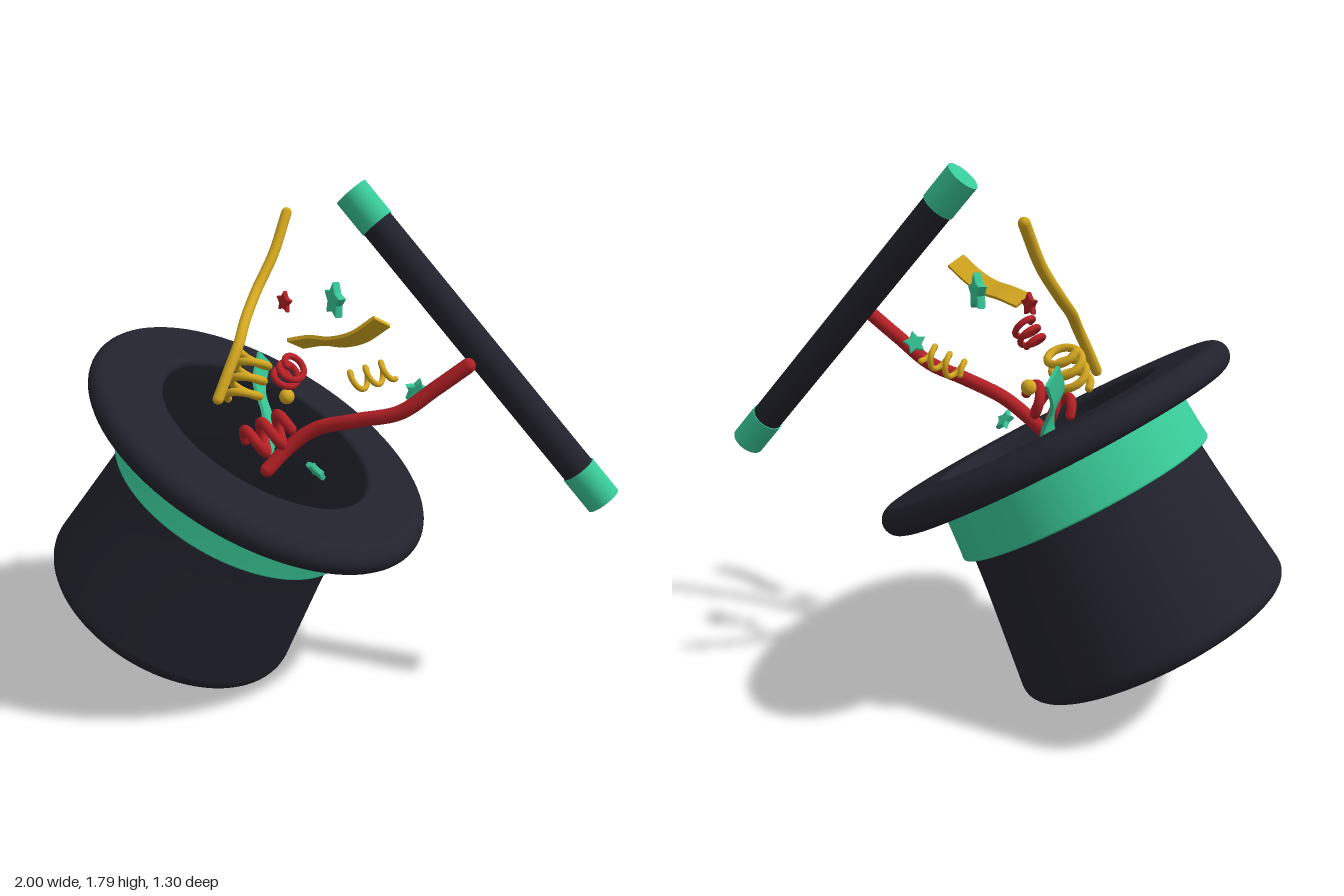
import * as THREE from 'three';

const mat = (name, color) => {
  const m = new THREE.MeshStandardMaterial({ color });
  m.name = name;
  return m;
};
const V = (p) => new THREE.Vector3(...p);

export function createModel() {
  const root = new THREE.Group();
  root.name = 'magicHatAndWand';
  const black = mat('black felt', 0x22222d);
  const green = mat('mint green', 0x38c997);
  const red = mat('red', 0xb52025);
  const gold = mat('gold', 0xd4a71f);

  const add = (name, geometry, material, parent = root) => {
    const m = new THREE.Mesh(geometry, material);
    m.name = name;
    parent.add(m);
    return m;
  };

  // profile arc: centre, radius, start and end angle in degrees
  const arc = (x, y, r, a, b, n = 8) =>
    Array.from({ length: n + 1 }, (_, i) => {
      const t = THREE.MathUtils.degToRad(a + ((b - a) * i) / n);
      return new THREE.Vector2(x + r * Math.cos(t), y + r * Math.sin(t));
    });
  const P = (x, y) => new THREE.Vector2(x, y);

  // hat: crown, brim and hollow inside turned as one profile
  const hat = new THREE.Group();
  hat.name = 'hat';
  hat.position.set(-0.22, 0.885, 0);
  hat.rotation.z = -Math.PI / 6;
  root.add(hat);
  add('hatBody', new THREE.LatheGeometry([
    P(0, -0.77), P(0.40, -0.77),
    ...arc(0.425, -0.71, 0.06, -90, 6),
    P(0.465, -0.55), P(0.44, -0.35), P(0.425, -0.2), P(0.425, -0.06), P(0.43, -0.05),
    P(0.46, -0.05), P(0.58, -0.05),
    ...arc(0.6, 0, 0.05, -90, 90, 12),
    P(0.58, 0.05), P(0.45, 0.05),
    ...arc(0.42, 0.03, 0.02, 90, 180, 5),
    P(0.4, 0), P(0.4, -0.3), P(0.43, -0.69), P(0.425, -0.7), P(0.4, -0.7), P(0, -0.7),
  ], 96), black, hat);

  // hat band
  add('hatBand', new THREE.LatheGeometry([
    P(0.42, -0.23), P(0.45, -0.23),
    ...arc(0.455, -0.222, 0.008, -90, 0, 4),
    P(0.46, -0.2), P(0.45, -0.06), P(0.45, -0.04),
  ], 96), green, hat);

  // wand with two tips
  const top = V([0.07, 1.75, -0.09]), bottom = V([0.955, 0.765, -0.09]);
  const length = top.distanceTo(bottom);
  const wand = new THREE.Group();
  wand.name = 'wand';
  wand.position.copy(top).add(bottom).multiplyScalar(0.5);
  wand.quaternion.setFromUnitVectors(new THREE.Vector3(0, 1, 0), top.clone().sub(bottom).normalize());
  root.add(wand);
  add('wandShaft', new THREE.CylinderGeometry(0.056, 0.056, length - 0.24, 40), black, wand);
  for (const s of [1, -1]) {
    add('wandTip', new THREE.CylinderGeometry(0.06, 0.06, 0.135, 40), green, wand)
      .position.y = s * (length / 2 - 0.0675);
  }

  // tubes with rounded ends
  const tube = (name, pts, r, material, segments = 60) => {
    const g = new THREE.Group();
    g.name = name;
    root.add(g);
    const curve = new THREE.CatmullRomCurve3(pts);
    add(name + 'Tube', new THREE.TubeGeometry(curve, segments, r, 12), material, g);
    for (const p of [pts[0], pts[pts.length - 1]]) {
      add(name + 'End', new THREE.SphereGeometry(r, 12, 10), material, g).position.copy(p);
    }
  };
  tube('redStreamer', [
    [-0.15, 0.84, 0.15], [-0.09, 0.91, 0.11], [0, 0.98, 0.09], [0.15, 1.03, 0.105],
    [0.3, 1.075, 0.115], [0.41, 1.16, 0.1], [0.51, 1.24, 0.085],
  ].map(V), 0.025, red);
  tube('goldStreamer', [
    [-0.25, 1.635, -0.37], [-0.27, 1.5, -0.28], [-0.295, 1.39, -0.17], [-0.285, 1.31, -0.02],
    [-0.275, 1.25, 0.07], [-0.29, 1.17, 0.13], [-0.31, 1.085, 0.18],
  ].map(V), 0.019, gold);

  // coil wound around the line from a to b
  const coil = (name, a, b, radius, turns, r, material) => {
    const A = V(a), B = V(b), axis = B.clone().sub(A).normalize();
    const e1 = new THREE.Vector3(0, 1, 0).cross(axis).normalize();
    const e2 = axis.clone().cross(e1);
    const n = Math.round(turns * 12);
    const pts = Array.from({ length: n + 1 }, (_, i) => {
      const t = (i / 12) * Math.PI * 2;
      return A.clone().lerp(B, i / n)
        .addScaledVector(e1, radius * Math.cos(t)).addScaledVector(e2, radius * Math.sin(t));
    });
    tube(name, pts, r, material, n * 3);
  };
  coil('goldCoil', [-0.27, 1.05, 0.07], [-0.25, 1.19, -0.02], 0.055, 3, 0.014, gold);
  coil('smallGoldCoil', [0.07, 1.1, -0.09], [0.22, 1.16, -0.09], 0.035, 2.75, 0.01, gold);
  coil('redCoil', [-0.09, 1.16, 0.16], [-0.03, 1.23, 0.19], 0.04, 2.5, 0.011, red);
  coil('largeRedCoil', [-0.21, 0.93, 0.17], [-0.09, 0.99, 0.1], 0.05, 2.5, 0.018, red);

  // flat ribbons: a thin bar bent along a path, its width along w
  const ribbon = (name, pts, w, material) => {
    const curve = new THREE.CatmullRomCurve3(pts.map(V));
    const W = V(w), geo = new THREE.BoxGeometry(1, 1, 0.012, 32, 1, 1);
    const pos = geo.attributes.position;
    for (let i = 0; i < pos.count; i++) {
      const t = pos.getX(i) + 0.5;
      const n = curve.getTangent(t).cross(W).normalize();
      const p = curve.getPoint(t).addScaledVector(W, pos.getY(i)).addScaledVector(n, pos.getZ(i));
      pos.setXYZ(i, p.x, p.y, p.z);
    }
    geo.computeVertexNormals();
    add(name, geo, material);
  };
  ribbon('goldRibbon', [
    [-0.025, 1.305, 0.215], [0.05, 1.325, 0.235], [0.13, 1.335, 0.275], [0.21, 1.365, 0.31], [0.285, 1.42, 0.32],
  ], [-0.035, 0.035, 0.06], gold);
  ribbon('greenRibbon', [
    [-0.28, 1.14, -0.19], [-0.27, 1.05, -0.11], [-0.22, 0.95, -0.06], [-0.2, 0.84, 0.01],
  ], [0.015, -0.055, -0.065], green);

  // puffy stars facing along n
  const star = (name, p, r, n, roll, material) => {
    const s = new THREE.Shape(Array.from({ length: 10 }, (_, i) => {
      const a = (i * Math.PI) / 5 + Math.PI / 2 + roll, q = i % 2 ? r * 0.48 : r * 0.9;
      return P(q * Math.cos(a), q * Math.sin(a));
    }));
    const geo = new THREE.ExtrudeGeometry(s, {
      depth: r * 0.25, bevelThickness: r * 0.12, bevelSize: r * 0.1, bevelSegments: 2,
    });
    geo.center();
    const m = add(name, geo, material);
    m.position.set(...p);
    m.lookAt(V(p).add(V(n)));
  };
  star('largeGreenStar', [0.01, 1.385, -0.115], 0.062, [0.75, 0, -0.66], 0.1, green);
  star('redStar', [-0.183, 1.36, -0.145], 0.038, [0.55, 0, -0.84], 0.1, red);
  star('greenStar', [0.35, 1.15, 0.095], 0.042, [-0.45, 0.3, -0.84], 0.2, green);
  star('lowGreenStar', [0.038, 0.87, 0.19], 0.04, [0.5, 0.6, -0.6], 0.3, green);

  // small ball
  add('goldBall', new THREE.SphereGeometry(0.027, 24, 16), gold).position.set(-0.135, 1.053, -0.018);

  return root;
}
